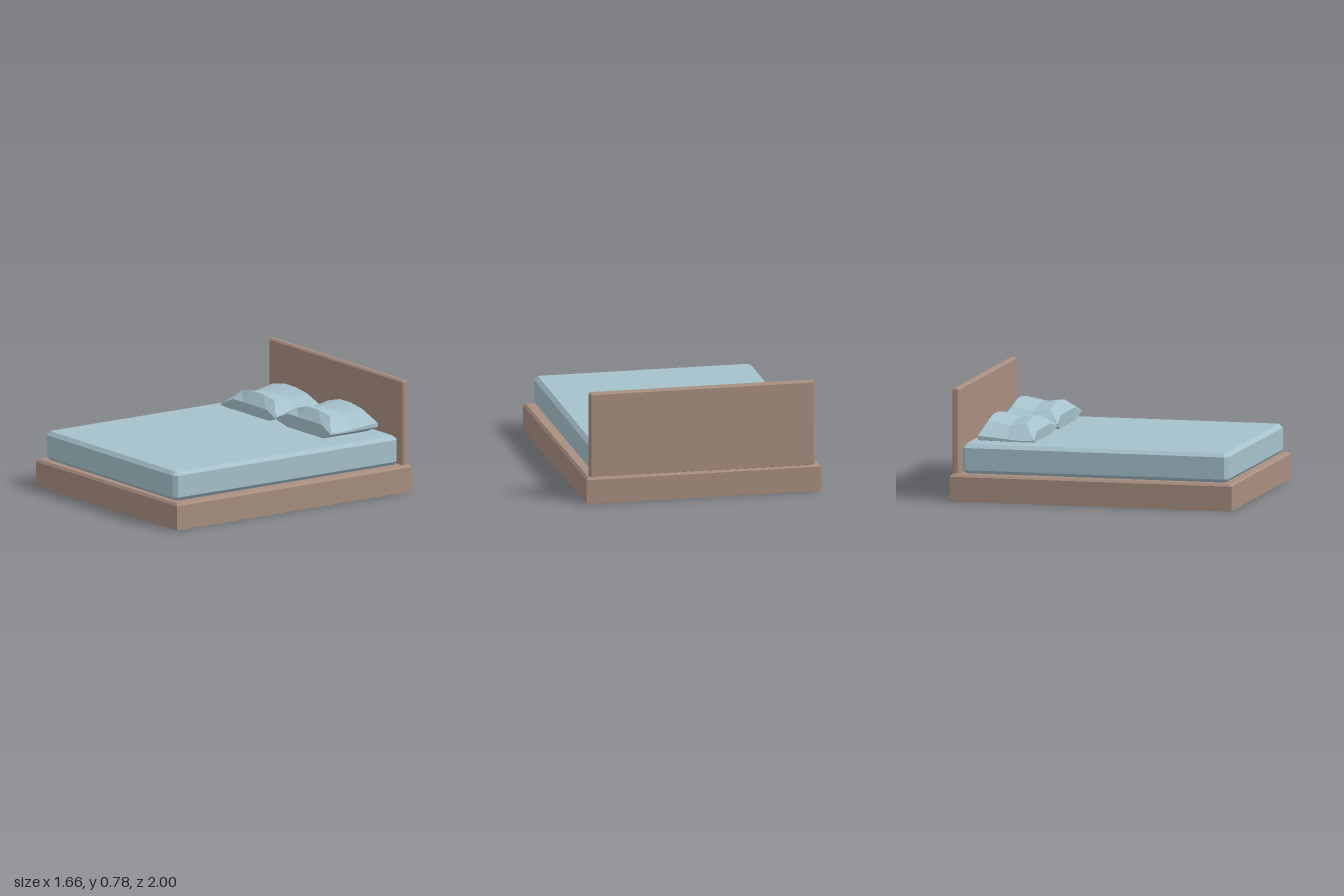
import * as THREE from 'three';

const wood = new THREE.MeshStandardMaterial({ color: 0xa88e80, flatShading: true, side: THREE.DoubleSide });
wood.name = 'wood brown';
const fabric = new THREE.MeshStandardMaterial({ color: 0xa6c2cc, flatShading: true, side: THREE.DoubleSide });
fabric.name = 'fabric blue';

function mesh(name, geometry, material) {
  const m = new THREE.Mesh(geometry, material);
  m.name = name;
  return m;
}

// Joins equal-length closed loops of points into a flat-shaded skin.
function loft(rings, capped) {
  const pos = [];
  const tri = (a, b, c) => pos.push(...a, ...b, ...c);
  const n = rings[0].length;
  for (let i = 0; i < rings.length - 1; i++) {
    for (let j = 0; j < n; j++) {
      const k = (j + 1) % n;
      const r = rings[i], s = rings[i + 1];
      tri(r[j], s[j], r[k]);
      tri(s[j], s[k], r[k]);
    }
  }
  if (capped) {
    const first = rings[0], last = rings[rings.length - 1];
    for (let j = 1; j < n - 1; j++) {
      tri(first[0], first[j], first[j + 1]);
      tri(last[0], last[j + 1], last[j]);
    }
  }
  const g = new THREE.BufferGeometry();
  g.setAttribute('position', new THREE.Float32BufferAttribute(pos, 3));
  g.computeVertexNormals();
  return g;
}

// Box with every edge chamfered, given by its two extreme corners.
function chamferBox([x0, y0, z0], [x1, y1, z1], b) {
  const w = (x1 - x0) / 2 - b, d = (z1 - z0) / 2 - b, c = b * 0.4;
  const shape = new THREE.Shape([
    [-w + c, -d], [w - c, -d], [w, -d + c], [w, d - c],
    [w - c, d], [-w + c, d], [-w, d - c], [-w, -d + c],
  ].map(([x, y]) => new THREE.Vector2(x, y)));
  const g = new THREE.ExtrudeGeometry(shape, {
    depth: y1 - y0 - 2 * b, bevelEnabled: true, bevelSegments: 1, bevelSize: b, bevelThickness: b,
  });
  g.rotateX(-Math.PI / 2);
  g.translate((x0 + x1) / 2, y0 + b, (z0 + z1) / 2);
  return g;
}

// Slightly uneven open-bottomed frame with a rim that turns inward.
function frameGeometry() {
  const corners = [[-0.83, -0.995], [0.815, -1], [0.828, 0.99], [-0.82, 1]];
  const profile = [[0, 0], [0, 0.17], [0.015, 0.187], [0.08, 0.187], [0.09, 0.17]];
  return loft(profile.map(([inset, y]) => corners.map(([x, z]) =>
    [x - Math.sign(x) * inset, y, z - Math.sign(z) * inset])), false);
}

// Pillow lofted along x: pinched ends, plump middle with a dent along the top.
function pillowGeometry(x0, tops, tips, seam) {
  const xs = [0, 0.12, 0.25, 0.375, 0.51, 0.637];
  const rings = xs.map((dx, i) => {
    let section;
    if (i === 0 || i === 5) {
      const y = tips[i === 0 ? 0 : 1];
      section = [[-0.44, y - 0.015], [-0.44, y - 0.005], [-0.442, y], [-0.64, y - 0.015],
        [-0.838, y + 0.02], [-0.84, y + 0.015], [-0.84, y - 0.01]];
    } else {
      const t = tops[i - 1];
      section = [[-0.46, 0.385], [-0.455, seam], [-0.525, t - 0.015], [-0.64, t - 0.03],
        [-0.795, t], [-0.84, seam + 0.01], [-0.835, 0.385]];
    }
    return section.map(([z, y]) => [x0 + dx, y, z]);
  });
  return loft(rings, true);
}

export function createModel() {
  const bed = new THREE.Group();
  bed.name = 'bed';
  bed.add(
    mesh('bedFrame', frameGeometry(), wood),
    mesh('headboard', chamferBox([-0.79, 0.175, -0.985], [0.79, 0.78, -0.935], 0.012), wood),
    mesh('mattress', chamferBox([-0.772, 0.185, -0.925], [0.762, 0.39, 0.96], 0.026), fabric),
    mesh('rightPillow', pillowGeometry(-0.652, [0.528, 0.552, 0.552, 0.535], [0.415, 0.435], 0.465), fabric),
    mesh('leftPillow', pillowGeometry(-0.002, [0.535, 0.568, 0.57, 0.552], [0.44, 0.45], 0.485), fabric),
  );
  return bed;
}
